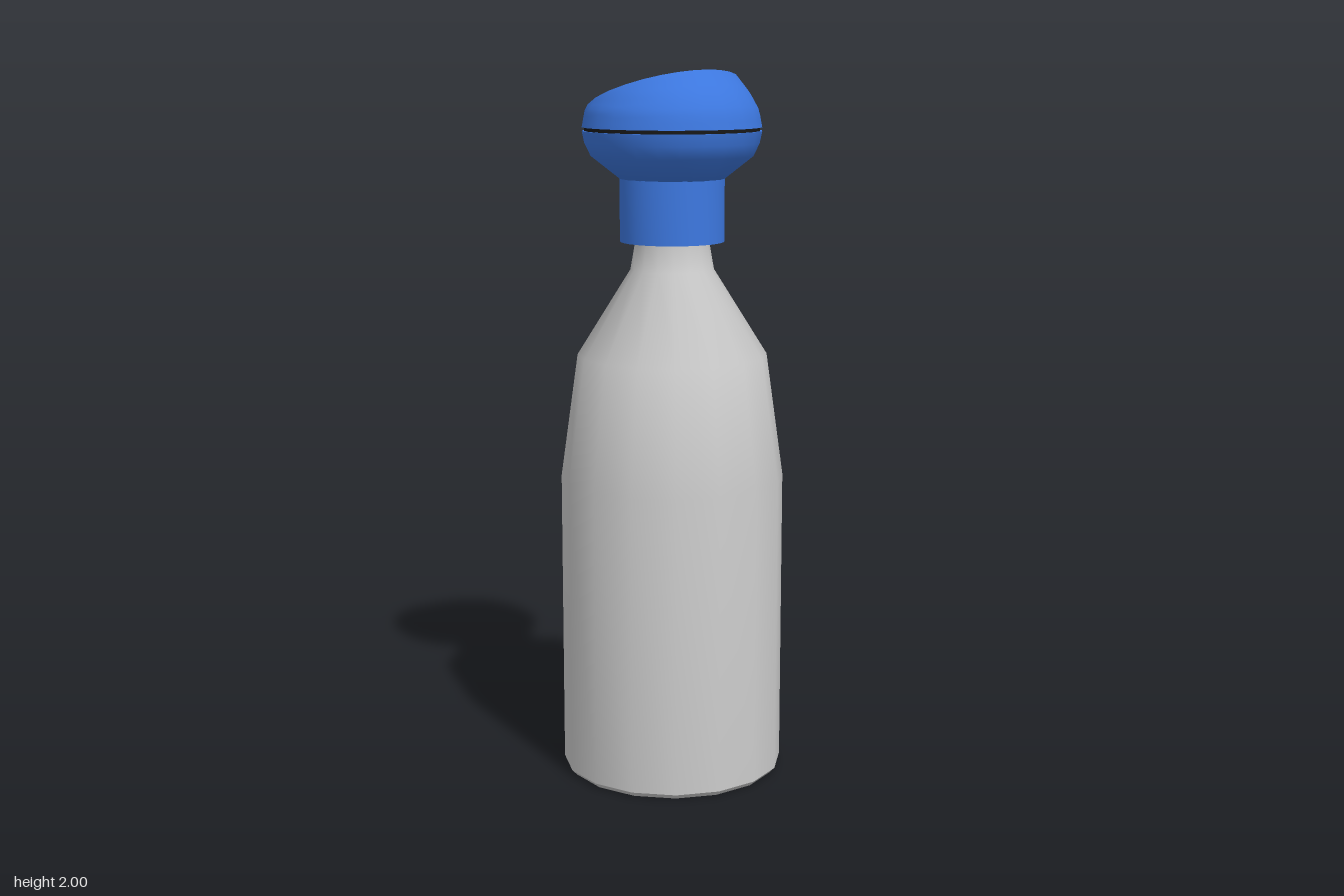
import * as THREE from 'three';
import { toCreasedNormals } from 'three/addons/utils/BufferGeometryUtils.js';

const mat = (color) => new THREE.MeshStandardMaterial({ color });
const grey = mat(0xcccccc), blue = mat(0x3d78e0), dark = mat(0x404040);
const black = mat(0x181818), green = mat(0x566a4e);
const SIDES = 24;

// Sloped face of the head: y = TOP_Y + SLOPE * (x - TOP_X)
const SLOPE = 0.337, TOP_X = 0.165, TOP_Y = 2;
const planeY = (x) => TOP_Y + SLOPE * (x - TOP_X);

function add(parent, name, geometry, material) {
  const mesh = new THREE.Mesh(geometry, material);
  mesh.name = name;
  parent.add(mesh);
  return mesh;
}

function lathe(profile, sides, phase = 0) {
  const points = profile.map(([r, y]) => new THREE.Vector2(r, y));
  return toCreasedNormals(new THREE.LatheGeometry(points, sides, phase), 0.7);
}

// Uncut dome profile: radius at a height
const DOME = [[0.25, 1.843], [0.241, 1.89], [0.216, 1.935], [0.165, 2], [0.12, 2.04]];
function domeRadius(y) {
  let i = 0;
  while (i < DOME.length - 2 && y > DOME[i + 1][1]) i++;
  const [r0, y0] = DOME[i], [r1, y1] = DOME[i + 1];
  return r0 + (r1 - r0) * (y - y0) / (y1 - y0);
}

// Height where the dome meets the sloped face, in direction phi
function cutHeight(phi) {
  let low = DOME[0][1], high = 2.04;
  for (let k = 0; k < 30; k++) {
    const y = (low + high) / 2;
    if (y < planeY(domeRadius(y) * Math.sin(phi))) low = y; else high = y;
  }
  return low;
}

// Lathe grid with every column shortened to end on the sloped face
function domeGeometry() {
  const rows = 8, points = [];
  for (let j = 0; j <= rows; j++) points.push(new THREE.Vector2(1, j / rows));
  const geometry = new THREE.LatheGeometry(points, SIDES);
  const pos = geometry.attributes.position;
  for (let i = 0; i < pos.count; i++) {
    const phi = Math.floor(i / (rows + 1)) / SIDES * Math.PI * 2;
    const y = THREE.MathUtils.lerp(DOME[0][1], cutHeight(phi), pos.getY(i));
    const r = domeRadius(y);
    pos.setXYZ(i, r * Math.sin(phi), y, r * Math.cos(phi));
  }
  return toCreasedNormals(geometry, 0.7);
}

// Keep the part of a polygon with x below a limit
function clip(points, limit) {
  const out = [];
  points.forEach((a, i) => {
    const b = points[(i + 1) % points.length];
    if (a.x <= limit) out.push(a);
    if ((a.x <= limit) !== (b.x <= limit)) out.push(a.clone().lerp(b, (limit - a.x) / (b.x - a.x)));
  });
  return out;
}

const flatShape = (points) => new THREE.ShapeGeometry(new THREE.Shape(points)).rotateX(-Math.PI / 2);

export function createModel() {
  const model = new THREE.Group();
  model.name = 'bottleWithDisplayCap';

  // Bottle, 16-sided with flats on the axes
  add(model, 'bottle', lathe([
    [0, 0], [0.302, 0], [0.316, 0.015], [0.316, 0.86], [0.267, 1.21],
    [0.117, 1.45], [0.103, 1.53], [0.103, 1.6],
  ], 16, Math.PI / 16), grey);

  // Collar around the neck, with a dark underside
  add(model, 'collar', lathe([[0.146, 1.528], [0.146, 1.72]], 32), blue);
  add(model, 'collarUnderside', new THREE.RingGeometry(0.09, 0.146, 32)
    .rotateX(Math.PI / 2).translate(0, 1.528, 0), black);

  // Head: lower bowl, seam and sloped dome
  add(model, 'headBowl', lathe([
    [0.1, 1.7], [0.146, 1.702], [0.226, 1.765], [0.243, 1.8], [0.25, 1.833], [0.24, 1.833],
  ], SIDES), blue);
  add(model, 'headSeam', lathe([[0.243, 1.825], [0.243, 1.85]], SIDES), black);
  add(model, 'headDome', domeGeometry(), blue);

  // Display face, built flat and then tilted onto the slope
  const face = new THREE.Group();
  face.name = 'displayFace';
  face.position.set(0, planeY(0), 0);
  face.rotation.z = Math.atan(SLOPE);
  model.add(face);
  const stretch = Math.hypot(1, SLOPE);
  const rim = [];
  for (let i = 0; i < SIDES; i++) {
    const phi = -i / SIDES * Math.PI * 2;
    const r = domeRadius(cutHeight(phi));
    rim.push(new THREE.Vector2(r * Math.sin(phi) * stretch, r * Math.cos(phi)));
  }
  add(face, 'faceCap', flatShape(rim), blue);
  add(face, 'facePanel', flatShape(clip(rim, 0.105 * stretch)), dark).position.y = 0.002;
  add(face, 'screen', new THREE.BoxGeometry(0.133 * stretch, 0.006, 0.26), green)
    .position.set(-0.053 * stretch, 0.002, 0);
  for (const z of [-0.09, 0, 0.09]) {
    add(face, 'button', toCreasedNormals(new THREE.CylinderGeometry(0.02, 0.02, 0.02, 20), 0.7), blue)
      .position.set(-0.168 * stretch, 0.001, z);
  }
  return model;
}
